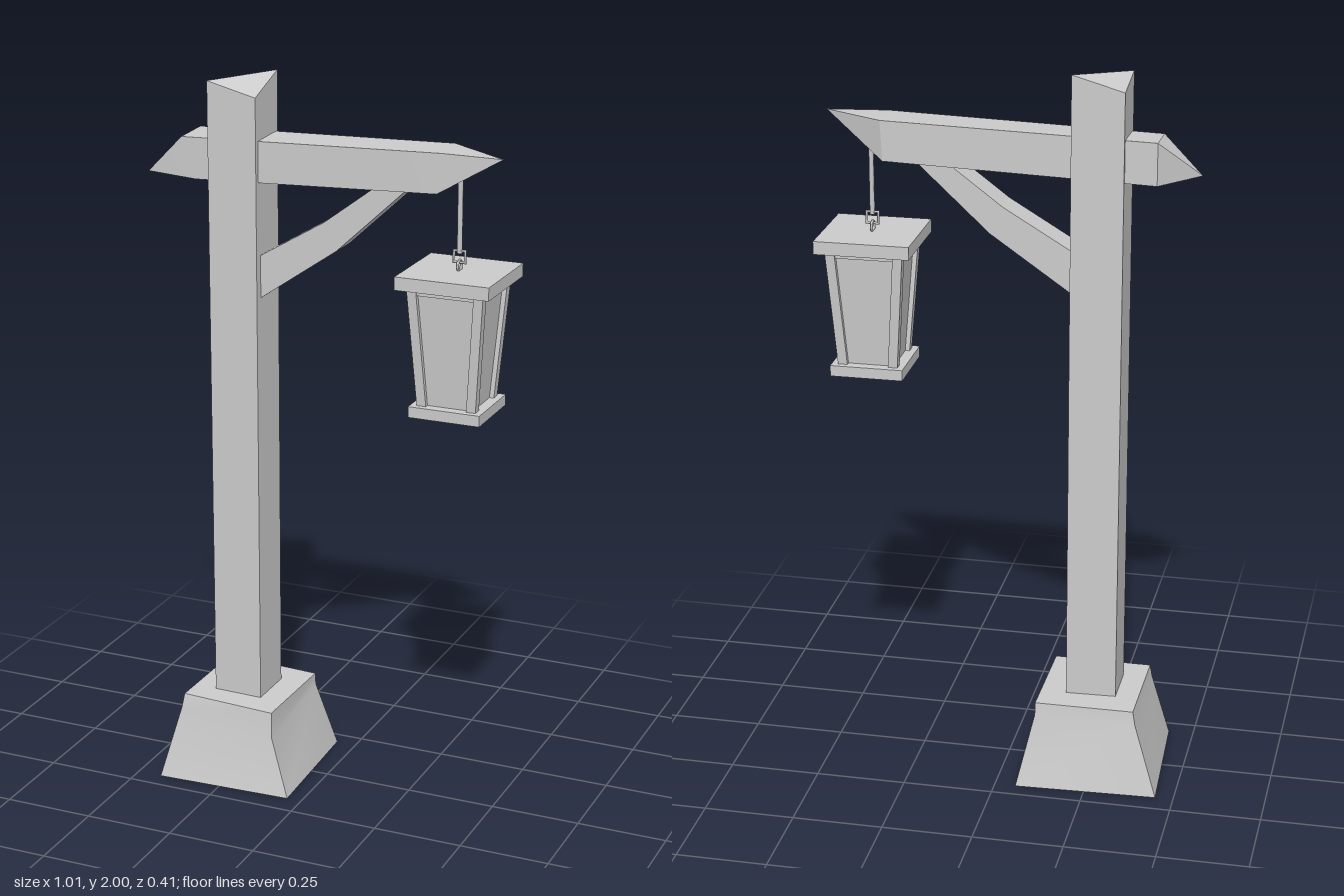
import * as THREE from 'three';
import { toCreasedNormals } from 'three/addons/utils/BufferGeometryUtils.js';

const grey = new THREE.MeshStandardMaterial({ color: 0xcccccc, side: THREE.DoubleSide });

function add(parent, name, geometry, x = 0, y = 0, z = 0) {
  const mesh = new THREE.Mesh(geometry, grey);
  mesh.name = name;
  mesh.position.set(x, y, z);
  parent.add(mesh);
  return mesh;
}

// Skins a row of four-cornered rings; a ring may be one point, for a spike
function loft(rings, { start = true, end = true, crease = 0.3 } = {}) {
  const pos = [];
  const same = (a, b) => a.every((v, i) => v === b[i]);
  const tri = (a, b, c) => {
    if (!same(a, b) && !same(b, c) && !same(a, c)) pos.push(...a, ...b, ...c);
  };
  const full = rings.map((r) => (r.length === 1 ? [r[0], r[0], r[0], r[0]] : r));
  for (let k = 0; k < full.length - 1; k++) {
    const a = full[k], b = full[k + 1];
    for (let i = 0; i < 4; i++) {
      const j = (i + 1) % 4;
      tri(a[i], a[j], b[j]);
      tri(a[i], b[j], b[i]);
    }
  }
  const first = full[0], last = full[full.length - 1];
  if (start) { tri(first[0], first[2], first[1]); tri(first[0], first[3], first[2]); }
  if (end) { tri(last[0], last[1], last[2]); tri(last[0], last[2], last[3]); }
  const g = new THREE.BufferGeometry();
  g.setAttribute('position', new THREE.Float32BufferAttribute(pos, 3));
  return toCreasedNormals(g, crease);
}

// Horizontal square ring, starting at its front left corner
const square = (cx, y, cz, h) => [
  [cx - h, y, cz + h], [cx + h, y, cz + h], [cx + h, y, cz - h], [cx - h, y, cz - h],
];

function createLantern() {
  const lantern = new THREE.Group();
  lantern.name = 'lantern';
  lantern.position.x = 0.375;

  // Roof slab, trim below it and floor slab
  add(lantern, 'lanternRoof', new THREE.BoxGeometry(0.26, 0.036, 0.26), 0, 1.512, 0);
  add(lantern, 'lanternTrim', new THREE.BoxGeometry(0.2, 0.018, 0.2), 0, 1.486, 0);
  add(lantern, 'lanternFloor', new THREE.BoxGeometry(0.2, 0.03, 0.2), 0, 1.157, 0);

  // Tapered panes and four leaning corner bars
  add(lantern, 'lanternGlass', loft([square(0, 1.17, 0, 0.07), square(0, 1.495, 0, 0.093)]));
  for (const sx of [-1, 1]) for (const sz of [-1, 1]) {
    add(lantern, 'lanternBar', loft([
      square(sx * 0.069, 1.165, sz * 0.069, 0.013),
      square(sx * 0.093, 1.495, sz * 0.093, 0.013),
    ]));
  }

  // Hanger: eye on the roof, square link and thin rod
  add(lantern, 'lanternEye', new THREE.TorusGeometry(0.015, 0.004, 4, 8), 0, 1.542, 0).rotation.y = Math.PI / 2;
  add(lantern, 'hangerLink', new THREE.TorusGeometry(0.022, 0.005, 4, 4).rotateZ(Math.PI / 4), 0, 1.566, 0);
  add(lantern, 'hangerRod', new THREE.CylinderGeometry(0.007, 0.007, 0.21, 6), 0, 1.68, 0);
  return lantern;
}

export function createModel() {
  const model = new THREE.Group();
  model.name = 'lampPost';

  // Hollow, uneven stone foot
  add(model, 'foot', loft([
    [[-0.43, 0, 0.2], [-0.042, 0, 0.185], [-0.058, 0, -0.205], [-0.45, 0, -0.19]],
    [[-0.385, 0.2, 0.148], [-0.105, 0.16, 0.15], [-0.102, 0.2, -0.15], [-0.385, 0.2, -0.158]],
    [[-0.38, 0.24, 0.138], [-0.105, 0.235, 0.15], [-0.102, 0.235, -0.146], [-0.378, 0.24, -0.155]],
  ], { start: false, crease: 0.7 }));

  // Upright with a roughly cut top
  add(model, 'post', loft([
    square(-0.245, 0.18, 0, 0.07),
    [[-0.315, 1.985, 0.07], [-0.175, 1.95, 0.07], [-0.175, 2, -0.07], [-0.315, 1.96, -0.07]],
  ]));

  // Cross beam hewn to a point at both ends
  add(model, 'beam', loft([
    [[-0.505, 1.72, 0.045]],
    [[-0.4, 1.825, 0.055], [-0.36, 1.713, 0.055], [-0.4, 1.715, -0.06], [-0.4, 1.83, -0.06]],
    [[0.34, 1.848, 0.055], [0.33, 1.74, 0.055], [0.33, 1.74, -0.06], [0.335, 1.85, -0.06]],
    [[0.507, 1.845, 0.045]],
  ]));

  // Bent brace under the beam
  const brace = new THREE.Shape([
    [-0.2, 1.385], [0.045, 1.555], [0.27, 1.765], [0.19, 1.765], [0.01, 1.63], [-0.2, 1.505],
  ].map(([x, y]) => new THREE.Vector2(x, y)));
  add(model, 'brace', new THREE.ExtrudeGeometry(brace, { depth: 0.09, bevelEnabled: false }), 0, 0, -0.045);

  model.add(createLantern());
  return model;
}
